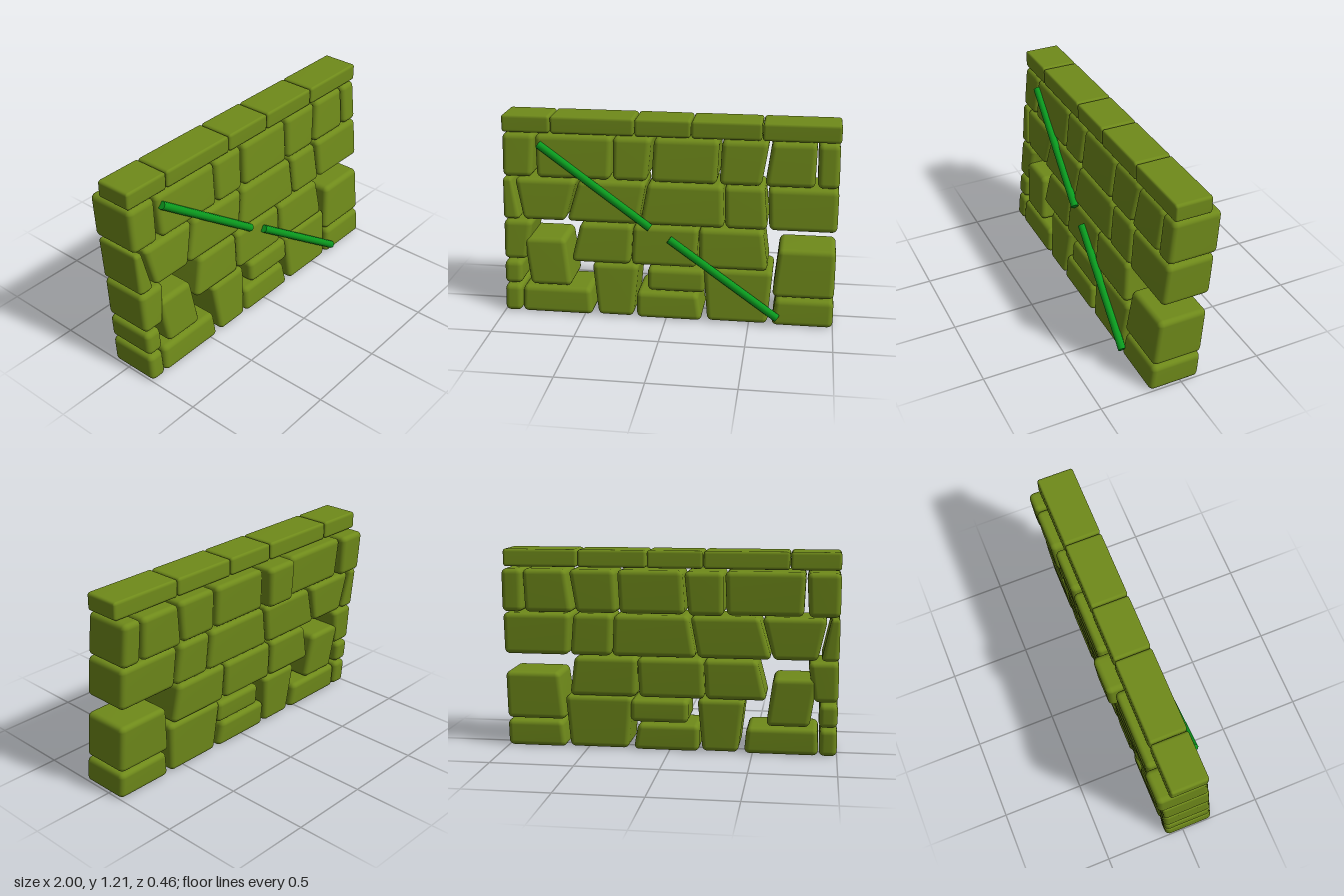
import * as THREE from 'three';
import { mergeVertices } from 'three/addons/utils/BufferGeometryUtils.js';
import { RoundedBoxGeometry } from 'three/addons/geometries/RoundedBoxGeometry.js';

const stoneMat = new THREE.MeshStandardMaterial({ color: 0x6f8a1a });
const stemMat = new THREE.MeshStandardMaterial({ color: 0x0a9a1e });

// Wall faces lean backward with height
const frontZ = (y) => 0.2 - 0.1 * y;
const backZ = (y) => -0.11 - 0.072 * y;

// Rounded block warped to a four-sided outline: bottom x0..x1, top x2..x3
function stone(name, y0, y1, [x0, x1, x2 = x0, x3 = x1, backExtra = 0], cap) {
  const w = (x1 - x0 + x3 - x2) / 2, h = y1 - y0, d = 0.31;
  const r = Math.min(cap ? 0.018 : 0.032, w * 0.3, h * 0.3);
  let geo = new RoundedBoxGeometry(w, h, d, 3, r);
  geo.deleteAttribute('normal');
  geo.deleteAttribute('uv');
  geo = mergeVertices(geo, 1e-4);
  const p = geo.attributes.position;
  for (let i = 0; i < p.count; i++) {
    const u = p.getX(i) / w + 0.5, v = p.getY(i) / h + 0.5, t = p.getZ(i) / d + 0.5;
    const y = y0 + v * h;
    const left = x0 + (x2 - x0) * v, right = x1 + (x3 - x1) * v;
    const back = cap ? -0.135 : backZ(y) - backExtra;
    const front = cap ? 0.085 : frontZ(y);
    p.setXYZ(i, left + (right - left) * u, y, back + (front - back) * t);
  }
  geo.computeVertexNormals();
  const mesh = new THREE.Mesh(geo, stoneMat);
  mesh.name = name;
  return mesh;
}

// Straight stem lying across the front face
function stem(name, a, b) {
  const from = new THREE.Vector3(...a), to = new THREE.Vector3(...b);
  const dir = to.clone().sub(from);
  const mesh = new THREE.Mesh(new THREE.CylinderGeometry(0.024, 0.024, dir.length(), 10), stemMat);
  mesh.position.copy(from).add(to).multiplyScalar(0.5);
  mesh.quaternion.setFromUnitVectors(new THREE.Vector3(0, 1, 0), dir.normalize());
  mesh.name = name;
  return mesh;
}

// Each course: name, bottom y, top y, stones [bottom left, bottom right, top left, top right, extra depth]
const courses = [
  ['baseStone', 0.005, 0.17, [
    [-1, -0.895], [-0.89, -0.45, -0.885, -0.465], [-0.18, 0.22, -0.18, 0.19], [0.635, 1, 0.655, 1]]],
  ['tallStone', 0.01, 0.335, [
    [-0.415, -0.2, -0.455, -0.17], [0.25, 0.61, 0.22, 0.635]]],
  ['flatStone', 0.18, 0.322, [[-1, -0.89], [-0.115, 0.235]]],
  ['squareStone', 0.18, 0.475, [[-0.835, -0.58, -0.88, -0.62], [0.635, 1, 0.665, 1]]],
  ['middleStone', 0.335, 0.578, [
    [-1, -0.86, -1, -0.82], [-0.585, -0.22, -0.525, -0.21],
    [-0.215, 0.18, -0.205, 0.19], [0.195, 0.605, 0.19, 0.57]]],
  ['upperStone', 0.585, 0.838, [
    [-1, -0.895, -1, -0.95], [-0.875, -0.62, -0.93, -0.55], [-0.61, -0.175, -0.535, -0.13],
    [-0.165, 0.34, -0.12, 0.325], [0.345, 0.595, 0.335, 0.57], [0.605, 1, 0.59, 1]]],
  ['topStone', 0.845, 1.105, [
    [-1, -0.82, -1, -0.805, 0.02], [-0.79, -0.345, -0.8, -0.335], [-0.33, -0.125, -0.33, -0.1, 0.04],
    [-0.1, 0.29, -0.085, 0.3], [0.305, 0.55, 0.315, 0.59], [0.57, 0.86, 0.605, 0.865, 0.012],
    [0.875, 1, 0.87, 0.995, 0.012]]],
  ['capStone', 1.112, 1.217, [
    [-1, -0.71], [-0.705, -0.205], [-0.2, 0.13], [0.135, 0.545], [0.55, 1]]],
];

export function createModel() {
  const wall = new THREE.Group();
  wall.name = 'stoneWall';
  for (const [name, y0, y1, stones] of courses) {
    const course = new THREE.Group();
    course.name = name + 'Course';
    for (const s of stones) course.add(stone(name, y0, y1, s, name === 'capStone'));
    wall.add(course);
  }
  wall.add(stem('upperStem', [-0.775, 1.05, 0.103], [-0.1, 0.575, 0.153]));
  wall.add(stem('lowerStem', [0.015, 0.51, 0.16], [0.67, 0.06, 0.208]));
  return wall;
}
